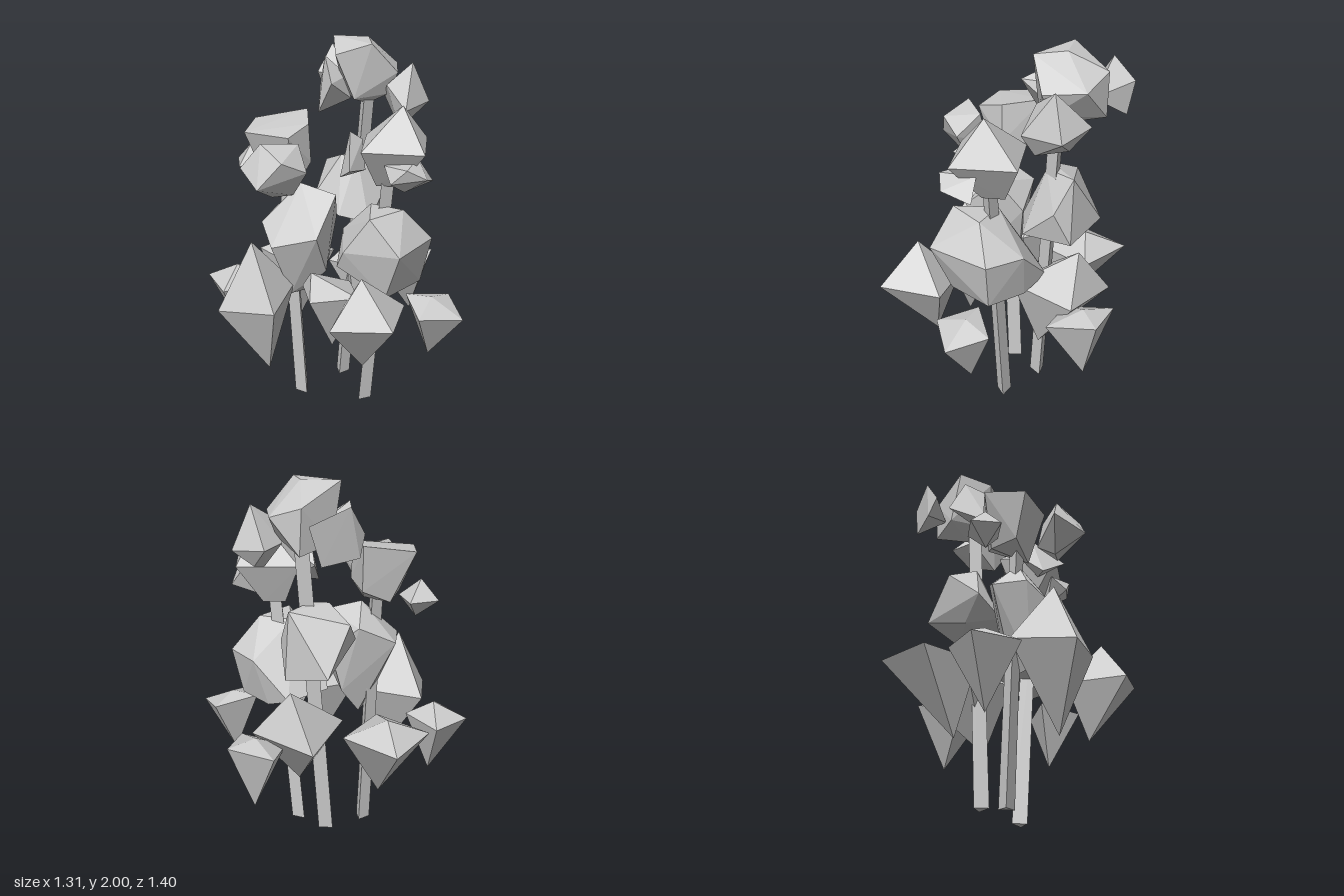
import * as THREE from 'three';
import { ConvexGeometry } from 'three/addons/geometries/ConvexGeometry.js';

const material = new THREE.MeshStandardMaterial({ color: 0xcccccc, flatShading: true });

function hull(name, points) {
  const mesh = new THREE.Mesh(new ConvexGeometry(points), material);
  mesh.name = name;
  return mesh;
}

// Irregular leaf clump from a handful of corners.
const chunk = ({ name, corners }) => hull(name, corners.map((c) => new THREE.Vector3(...c)));

// Four-cornered ring; tilt raises it along x and z.
function ring([x, y, z], [rx, rz], spin, [tx, tz]) {
  return Array.from({ length: 4 }, (_, i) => {
    const a = spin + (i * Math.PI) / 2;
    const dx = rx * Math.cos(a), dz = rz * Math.sin(a);
    return new THREE.Vector3(x + dx, y + tx * dx + tz * dz, z + dz);
  });
}

// Diamond leaf clump: a ring with a tip above and a tip or small ring below.
function diamond({ name, mid, r, spin, tilt = [0, 0], top, bottom, bottomR = 0 }) {
  const base = bottomR ? ring(bottom, [bottomR, bottomR], spin, [0, 0]) : [new THREE.Vector3(...bottom)];
  return hull(name, [...ring(mid, r, spin, tilt), new THREE.Vector3(...top), ...base]);
}

// Slim three-sided trunk between two points.
function trunk(name, from, to, spin) {
  const a = new THREE.Vector3(...from), b = new THREE.Vector3(...to);
  const dir = b.clone().sub(a);
  const mesh = new THREE.Mesh(new THREE.CylinderGeometry(0.042, 0.045, dir.length(), 3), material);
  mesh.position.copy(a).add(b).multiplyScalar(0.5);
  mesh.quaternion.setFromUnitVectors(new THREE.Vector3(0, 1, 0), dir.normalize());
  mesh.rotateY(spin);
  mesh.name = name;
  return mesh;
}

// Tall back tree
const backCrown = [
  { name: 'backCrownTop', corners: [
    [0.06, 2, -0.32], [0.29, 1.91, -0.425], [0.4, 1.85, -0.29], [0.35, 1.84, -0.09], [0.21, 1.99, -0.08], [0.035, 1.93, -0.145],
    [0.23, 2, -0.24], [0.13, 1.7, -0.13], [0.32, 1.72, -0.14], [0.3, 1.69, -0.42], [0.12, 1.72, -0.36], [0.23, 1.65, -0.24]] },
  { name: 'backCrownRight', corners: [
    [0.01, 1.9, -0.3], [-0.05, 1.63, -0.17], [0, 1.72, -0.39], [0, 1.8, -0.07], [0.13, 1.69, -0.2], [0.12, 1.8, -0.25]] },
  { name: 'backCrownLeft', corners: [
    [0.44, 1.88, -0.13], [0.54, 1.67, -0.14], [0.43, 1.7, -0.31], [0.37, 1.66, 0.01], [0.29, 1.78, -0.08], [0.36, 1.55, -0.06],
    [0.45, 1.6, -0.2], [0.31, 1.7, -0.2]] },
  { name: 'backCrownRear', corners: [
    [0.3, 1.86, -0.55], [0.24, 1.67, -0.54], [0.04, 1.68, -0.5], [0.09, 1.92, -0.51], [0, 1.78, -0.46], [0.2, 1.75, -0.38]] },
  { name: 'backCrownLow', corners: [
    [0.31, 1.38, -0.27], [0.03, 1.31, -0.37], [-0.06, 1.17, -0.22], [0.07, 1.05, -0.27], [0.18, 1.08, -0.46], [0.33, 1.02, -0.26],
    [0.2, 1.04, -0.04], [0.04, 1.08, -0.08], [0.08, 1.38, -0.21], [0.16, 1.38, -0.17], [0.32, 1.2, -0.17]] },
];

// Front tree
const frontCrown = [
  { name: 'frontCrownRight', corners: [
    [0.06, 1.6, 0.1], [0, 1.38, 0.15], [0.02, 1.45, 0.28], [0.13, 1.41, 0.15], [0.13, 1.55, 0.08], [0.07, 1.5, 0.02]] },
  { name: 'frontCrownLower', corners: [
    [0.2, 1.46, 0.25], [0.38, 1.48, 0.22], [0.45, 1.37, 0.26], [0.31, 1.31, 0.24], [0.21, 1.39, 0.34], [0.28, 1.47, 0.38], [0.38, 1.42, 0.39]] },
  { name: 'frontCrownBody', corners: [
    [0.12, 1.2, 0.3], [0.32, 1.2, 0.2], [0.18, 1.2, 0.08], [0.24, 1.04, 0.44], [0.48, 1.03, 0.2], [0, 1, 0.23], [0.42, 1.03, 0],
    [0.05, 1.04, 0], [0.43, 0.78, 0.18], [0.2, 0.77, 0.33], [-0.02, 0.9, 0.17], [0.28, 0.84, -0.15], [0.05, 0.86, -0.11], [0.35, 0.78, -0.02]] },
];

// Right-hand tree
const sideCrown = [
  { name: 'sideCrownTop', corners: [
    [-0.37, 1.6, -0.25], [-0.1, 1.645, -0.21], [-0.13, 1.62, 0], [-0.25, 1.58, 0.1], [-0.45, 1.58, -0.05], [-0.11, 1.4, -0.18],
    [-0.12, 1.42, 0], [-0.2, 1.3, 0.02], [-0.36, 1.35, -0.08], [-0.26, 1.33, -0.19]] },
  { name: 'sideCrownFront', corners: [
    [-0.39, 1.57, 0.13], [-0.2, 1.55, 0.1], [-0.18, 1.44, 0.23], [-0.31, 1.51, 0.28], [-0.49, 1.44, 0.09], [-0.43, 1.38, 0.27],
    [-0.24, 1.31, 0.17], [-0.34, 1.29, 0.13], [-0.24, 1.38, 0.06]] },
  { name: 'sideCrownBody', corners: [
    [-0.38, 1.1, -0.03], [-0.17, 1.3, -0.03], [0, 1.25, 0.05], [-0.13, 1.07, 0.2], [-0.35, 1, 0.1], [0.03, 1.08, -0.08],
    [-0.1, 1.2, -0.17], [-0.3, 1.1, -0.19], [-0.24, 0.69, 0.02], [-0.15, 0.67, -0.05], [-0.04, 0.82, -0.08], [-0.06, 0.84, 0.09]] },
];

// Clumps with a square outline: two in the crowns, the rest hanging around the bottom
const diamonds = [
  { name: 'frontCrownTop', mid: [0.28, 1.53, 0.145], r: [0.22, 0.23], spin: -0.45, top: [0.31, 1.735, 0.17], bottom: [0.26, 1.32, 0.11], bottomR: 0.08 },
  { name: 'sideCrownRear', mid: [-0.39, 1.36, -0.25], r: [0.11, 0.11], spin: 0.85, top: [-0.4, 1.46, -0.25], bottom: [-0.38, 1.26, -0.24] },
  { name: 'skirtFront', mid: [0.075, 0.75, 0.48], r: [0.22, 0.23], spin: -0.33, tilt: [0.1, 0.1], top: [0.04, 0.97, 0.48], bottom: [0.07, 0.43, 0.4] },
  { name: 'skirtRight', mid: [-0.43, 0.72, 0.08], r: [0.22, 0.23], spin: -0.28, tilt: [0.14, -0.05], top: [-0.45, 1.04, 0.09], bottom: [-0.38, 0.3, 0.12] },
  { name: 'skirtRightRear', mid: [-0.52, 0.67, -0.26], r: [0.16, 0.18], spin: 0.5, top: [-0.5, 0.76, -0.26], bottom: [-0.49, 0.35, -0.25] },
  { name: 'skirtLeftFront', mid: [0.47, 0.69, 0.32], r: [0.17, 0.155], spin: 0.75, tilt: [-0.12, -0.2], top: [0.46, 0.74, 0.3], bottom: [0.46, 0.39, 0.28] },
  { name: 'skirtLeftRear', mid: [0.49, 0.69, -0.28], r: [0.165, 0.19], spin: -0.18, tilt: [0.2, -0.1], top: [0.5, 0.745, -0.29], bottom: [0.52, 0.36, -0.3] },
  { name: 'skirtRear', mid: [-0.13, 0.73, -0.47], r: [0.22, 0.24], spin: 0.22, top: [-0.13, 0.82, -0.48], bottom: [-0.15, 0.33, -0.34] },
  { name: 'skirtLeft', mid: [0.26, 0.74, -0.24], r: [0.24, 0.26], spin: 0.05, tilt: [0, 0.14], top: [0.32, 0.97, -0.31], bottom: [0.22, 0.37, -0.13] },
  { name: 'skirtInner', mid: [-0.06, 0.77, 0.2], r: [0.18, 0.15], spin: 0.78, top: [-0.16, 0.89, 0.2], bottom: [-0.05, 0.45, 0.2] },
];

export function createModel() {
  const model = new THREE.Group();
  model.name = 'treeGroup';
  model.add(
    trunk('backTrunk', [0.08, 0.05, -0.165], [0.22, 1.75, -0.21], Math.PI / 2),
    trunk('frontTrunk', [0.16, 0, 0.05], [0.245, 1.4, 0.14], Math.PI / 2 - 0.3),
    trunk('sideTrunk', [-0.165, 0, -0.085], [-0.24, 1.4, -0.05], 0.3),
  );
  const crowns = { backCrown, frontCrown, sideCrown };
  for (const [name, list] of Object.entries(crowns)) {
    const group = new THREE.Group();
    group.name = name;
    list.forEach((spec) => group.add(chunk(spec)));
    model.add(group);
  }
  diamonds.forEach((spec) => model.add(diamond(spec)));
  return model;
}
